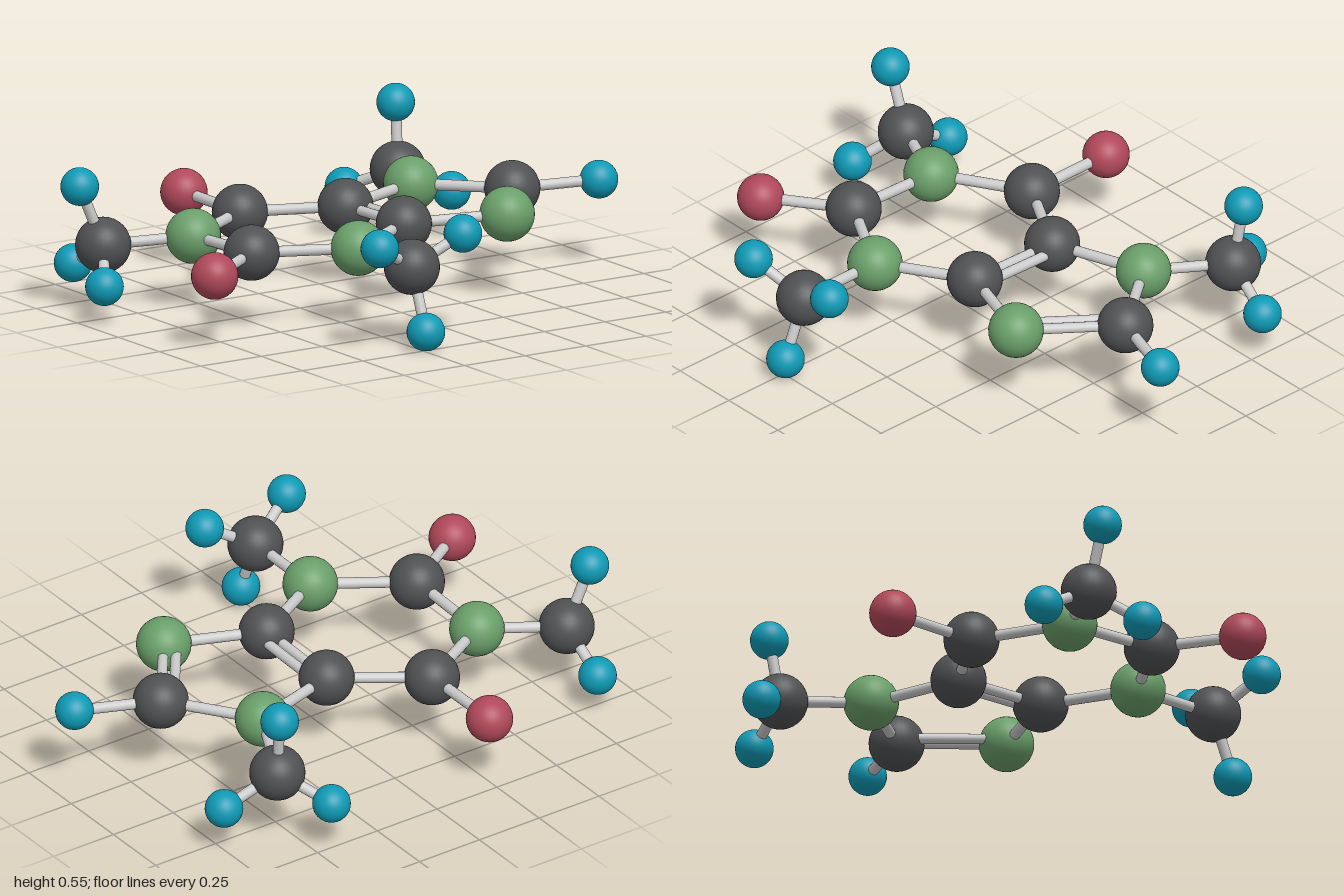
import * as THREE from 'three';

// Element styles: colour and ball radius
const STYLES = {
  carbon: { color: 0x505153, radius: 0.096 },
  nitrogen: { color: 0x6a9f6a, radius: 0.095 },
  oxygen: { color: 0xb0485a, radius: 0.081 },
  hydrogen: { color: 0x0f9ab5, radius: 0.066 },
};

// Atoms: name -> [element, x, y, z]
const ATOMS = {
  // six-sided ring
  upperCarbon: ['carbon', -0.24, 0.26, -0.38],
  sideNitrogen: ['nitrogen', -0.555, 0.255, -0.2],
  sideCarbon: ['carbon', -0.555, 0.268, 0.155],
  frontNitrogen: ['nitrogen', -0.24, 0.278, 0.34],
  sharedFront: ['carbon', 0.07, 0.285, 0.16],
  sharedBack: ['carbon', 0.07, 0.275, -0.195],
  // five-sided ring
  backNitrogen: ['nitrogen', 0.415, 0.285, -0.305],
  endCarbon: ['carbon', 0.64, 0.295, -0.02],
  innerNitrogen: ['nitrogen', 0.415, 0.296, 0.28],
  // attachments
  backOxygen: ['oxygen', -0.24, 0.262, -0.72],
  sideOxygen: ['oxygen', -0.83, 0.26, 0.335],
  endHydrogen: ['hydrogen', 0.93, 0.307, 0.08],
  frontMethyl: ['carbon', -0.24, 0.278, 0.665],
  sideMethyl: ['carbon', -0.835, 0.235, -0.335],
  backMethyl: ['carbon', 0.555, 0.26, -0.59],
};

// Three hydrogens around each methyl carbon
const METHYLS = {
  frontMethyl: [[-0.42, 0.38, 0.735], [-0.06, 0.38, 0.71], [-0.24, 0.066, 0.75]],
  sideMethyl: [[-0.83, 0.133, -0.525], [-0.925, 0.45, -0.345], [-0.935, 0.133, -0.18]],
  backMethyl: [[0.445, 0.18, -0.755], [0.57, 0.485, -0.625], [0.75, 0.165, -0.55]],
};

const SINGLE_BONDS = [
  ['upperCarbon', 'sideNitrogen'], ['sideNitrogen', 'sideCarbon'],
  ['sideCarbon', 'frontNitrogen'], ['frontNitrogen', 'sharedFront'],
  ['sharedBack', 'upperCarbon'], ['sharedBack', 'backNitrogen'],
  ['backNitrogen', 'endCarbon'], ['innerNitrogen', 'sharedFront'],
  ['upperCarbon', 'backOxygen'], ['sideCarbon', 'sideOxygen'],
  ['endCarbon', 'endHydrogen'], ['frontNitrogen', 'frontMethyl'],
  ['sideNitrogen', 'sideMethyl'], ['backNitrogen', 'backMethyl'],
];
const DOUBLE_BONDS = [['sharedFront', 'sharedBack'], ['endCarbon', 'innerNitrogen']];

const BOND_RADIUS = 0.019;
const UP = new THREE.Vector3(0, 1, 0);

export function createModel() {
  const model = new THREE.Group();
  model.name = 'molecule';
  const atoms = new THREE.Group();
  atoms.name = 'atoms';
  const bonds = new THREE.Group();
  bonds.name = 'bonds';
  model.add(atoms, bonds);

  // One shared ball and material per element
  const balls = {};
  for (const [element, { color, radius }] of Object.entries(STYLES)) {
    balls[element] = {
      geometry: new THREE.SphereGeometry(radius, 32, 20),
      material: new THREE.MeshStandardMaterial({ color }),
    };
  }
  const bondMaterial = new THREE.MeshStandardMaterial({ color: 0xcccccc });

  function addAtom(name, element, position) {
    const mesh = new THREE.Mesh(balls[element].geometry, balls[element].material);
    mesh.name = name;
    mesh.position.copy(position);
    atoms.add(mesh);
  }

  function addBond(name, a, b, radius = BOND_RADIUS) {
    const along = b.clone().sub(a);
    const geometry = new THREE.CylinderGeometry(radius, radius, along.length(), 16);
    const mesh = new THREE.Mesh(geometry, bondMaterial);
    mesh.name = name;
    mesh.position.copy(a).add(b).multiplyScalar(0.5);
    mesh.quaternion.setFromUnitVectors(UP, along.normalize());
    bonds.add(mesh);
  }

  const points = {};
  for (const [name, [element, x, y, z]] of Object.entries(ATOMS)) {
    points[name] = new THREE.Vector3(x, y, z);
    addAtom(name, element, points[name]);
  }

  for (const [a, b] of SINGLE_BONDS) addBond('singleBond', points[a], points[b]);

  // Double bonds: a second rod lies beside the first, inside the small ring
  const ringCentre = new THREE.Vector3(0.32, 0.29, -0.02);
  for (const [a, b] of DOUBLE_BONDS) {
    const p = points[a], q = points[b];
    const along = q.clone().sub(p).normalize();
    const inward = ringCentre.clone().sub(p);
    inward.addScaledVector(along, -inward.dot(along)).setLength(0.044);
    addBond('doubleBondOuter', p, q, 0.018);
    addBond('doubleBondInner', p.clone().add(inward), q.clone().add(inward), 0.018);
  }

  // Methyl hydrogens with their bonds
  for (const [carbon, hydrogens] of Object.entries(METHYLS)) {
    for (const h of hydrogens) {
      const position = new THREE.Vector3(...h);
      addAtom(carbon + 'Hydrogen', 'hydrogen', position);
      addBond('hydrogenBond', points[carbon], position);
    }
  }

  return model;
}
